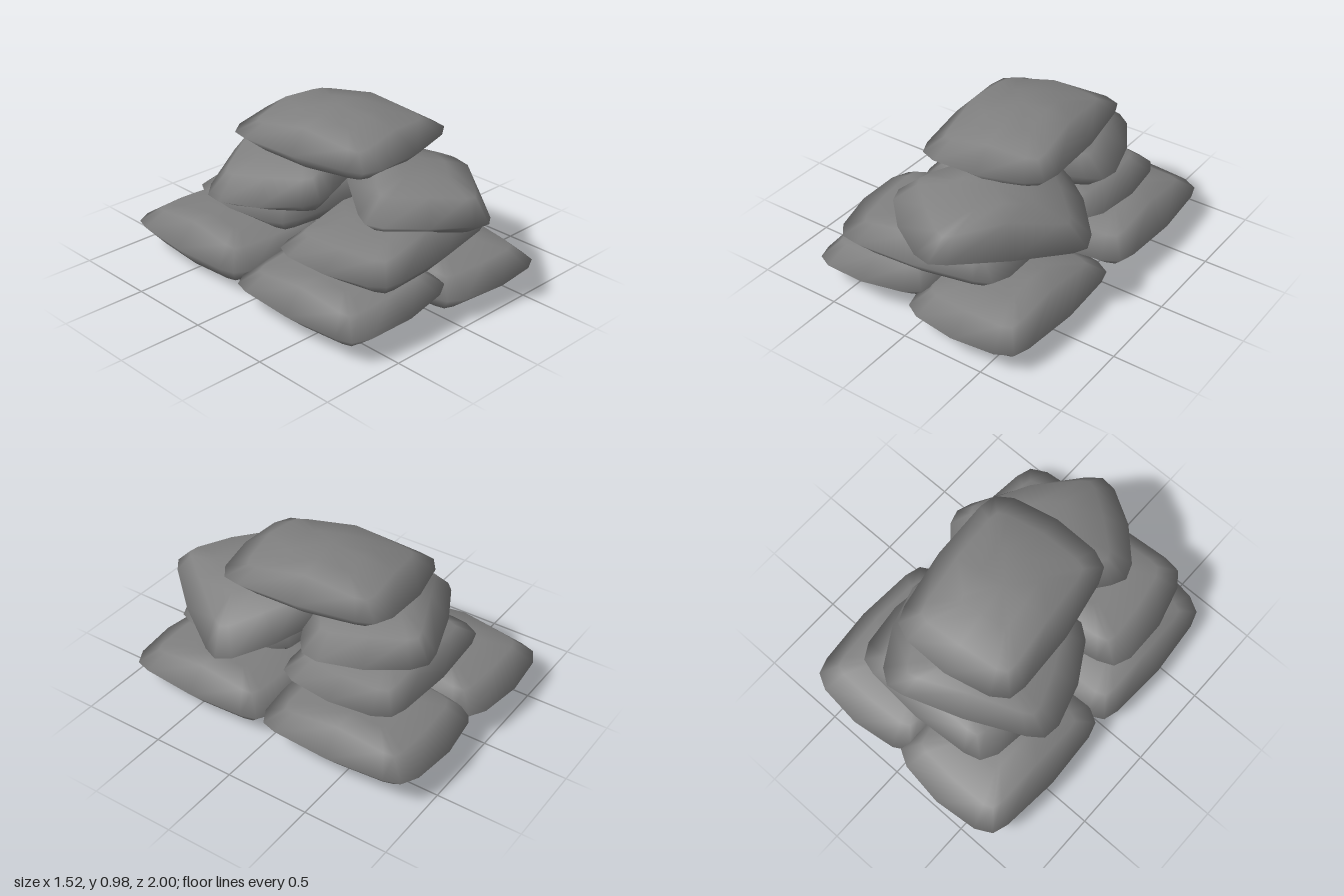
import * as THREE from 'three';

// One quarter of each outline, as fractions of half width and half length
const RIM = [[1, 0], [0.94, 0.66], [0.87, 0.84], [0.64, 0.94], [0, 1]];
const SHOULDER = [[0.71, 0], [0.7, 0.55], [0.67, 0.66], [0.54, 0.7], [0, 0.72]];
const INNER = SHOULDER.map(([x, z]) => [x * 0.5, z * 0.5]);

// Mirror a quarter outline into a closed loop
function fullLoop(q) {
  const half = [...q, ...q.slice(0, -1).reverse().map(([x, z]) => [-x, z])];
  return [...half, ...half.slice(1, -1).reverse().map(([x, z]) => [x, -z])];
}

// Pillow: bottom centre, loops from bottom to top, top centre
function bagGeometry(w, l, h, { yaw, sag, crown, under }) {
  const pos = [], idx = [];
  // Both sides droop over the bags below
  const add = (x, y, z) => {
    const u = x * Math.cos(yaw) + z * Math.sin(yaw);
    pos.push(x, y - sag * u * u, z);
  };
  const top = (x, z) => h * (1 - 0.52 * Math.abs(z) - 0.7 * crown * Math.abs(x));
  const bottom = (x, z) => -h * under * (1 - 0.22 * Math.abs(z) - 0.7 * crown * Math.abs(x));
  const rings = [
    [INNER, bottom], [SHOULDER, bottom],
    [RIM, () => 0], [SHOULDER, top], [INNER, top],
  ];
  add(0, -h * under, 0);
  let n = 0;
  for (const [quarter, height] of rings) {
    const loop = fullLoop(quarter);
    n = loop.length;
    for (const [x, z] of loop) add(x * w, height(x, z), z * l);
  }
  add(0, h, 0);
  const last = pos.length / 3 - 1;
  for (let i = 0; i < n; i++) {
    const j = (i + 1) % n;
    idx.push(0, 1 + i, 1 + j);
    for (let r = 0; r < rings.length - 1; r++) {
      const a = 1 + r * n + i, b = 1 + r * n + j;
      idx.push(a, a + n, b, b, a + n, b + n);
    }
    idx.push(last, last - n + j, last - n + i);
  }
  const g = new THREE.BufferGeometry();
  g.setAttribute('position', new THREE.Float32BufferAttribute(pos, 3));
  g.setIndex(idx);
  g.computeVertexNormals();
  return g;
}

export function createModel() {
  const group = new THREE.Group();
  group.name = 'sandbagPile';
  const material = new THREE.MeshStandardMaterial({ color: 0x808080 });
  const rad = THREE.MathUtils.degToRad;

  // at: centre; size: half width, half length, half height; angles in degrees
  const bags = [
    // bottom layer
    { name: 'bottomBackRightBag', at: [-0.33, 0.175, -0.485], size: [0.41, 0.515, 0.138], turn: -1 },
    { name: 'bottomBackLeftBag', at: [0.35, 0.175, -0.45], size: [0.41, 0.52, 0.133], turn: 1 },
    { name: 'bottomFrontRightBag', at: [-0.355, 0.173, 0.425], size: [0.405, 0.515, 0.127], turn: 1, roll: 5 },
    { name: 'bottomFrontLeftBag', at: [0.32, 0.135, 0.485], size: [0.4, 0.515, 0.135], turn: -1 },
    // second layer
    { name: 'secondFrontBag', at: [-0.085, 0.395, 0.49], size: [0.4, 0.545, 0.127], turn: 98 },
    { name: 'secondBackBag', at: [0.055, 0.39, -0.35], size: [0.4, 0.525, 0.12], turn: 90 },
    // third layer
    { name: 'thirdFrontBag', at: [0.19, 0.59, 0.455], size: [0.375, 0.515, 0.165], turn: -38, pitch: 4, roll: -8, sag: 0.25, under: 0.7 },
    { name: 'thirdBackBag', at: [-0.04, 0.6, -0.265], size: [0.39, 0.54, 0.135], turn: 114, pitch: -1, roll: 4, sag: 0.2 },
    // top layer
    { name: 'topBag', at: [0.06, 0.82, -0.01], size: [0.42, 0.54, 0.16], turn: 7, roll: 2.5, crown: 0.55 },
  ];

  for (const { name, at, size, turn, pitch = 0, roll = 0, sag = 0, crown = 0.06, under = 1 } of bags) {
    const yaw = rad(turn);
    const bag = new THREE.Mesh(bagGeometry(...size, { yaw, sag, crown, under }), material);
    bag.name = name;
    bag.position.set(...at);
    bag.rotation.set(rad(pitch), yaw, rad(roll), 'ZXY');
    group.add(bag);
  }
  return group;
}
